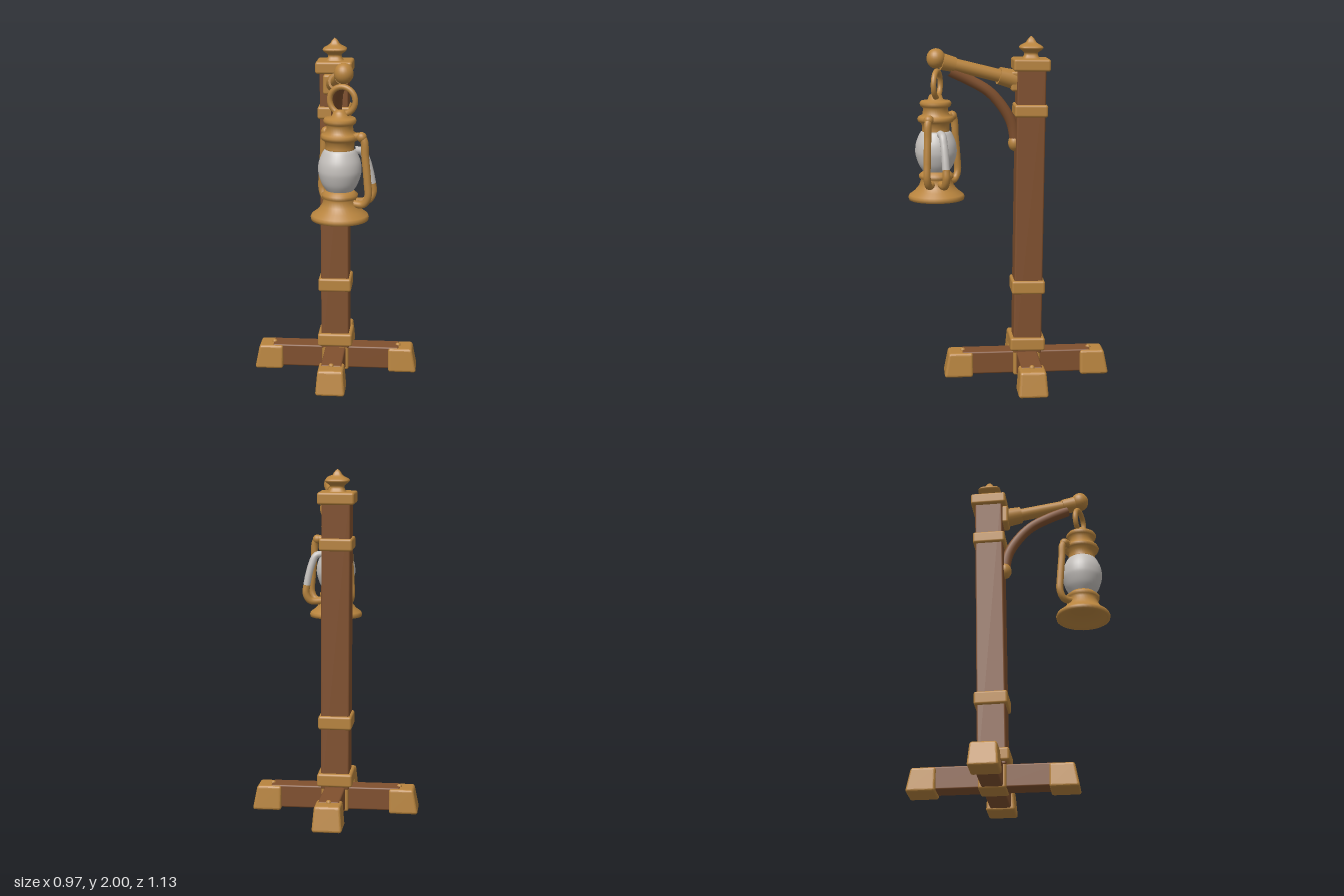
import * as THREE from 'three';
import { RoundedBoxGeometry } from 'three/addons/geometries/RoundedBoxGeometry.js';

const mat = (name, color, side = THREE.FrontSide) => {
  const m = new THREE.MeshStandardMaterial({ color, side });
  m.name = name;
  return m;
};
const V = (x, y, z) => new THREE.Vector3(x, y, z);

export function createModel() {
  const gold = mat('brass', 0xb8843e, THREE.DoubleSide);
  const wood = mat('wood', 0x80502e);
  const glass = mat('frosted glass', 0xc4c0bc);

  const root = new THREE.Group();
  root.name = 'lanternPost';

  const add = (parent, name, geo, material, x = 0, y = 0, z = 0) => {
    const m = new THREE.Mesh(geo, material);
    m.name = name;
    m.position.set(x, y, z);
    parent.add(m);
    return m;
  };
  const group = (parent, name, x = 0, y = 0, z = 0) => {
    const g = new THREE.Group();
    g.name = name;
    g.position.set(x, y, z);
    parent.add(g);
    return g;
  };
  const rbox = (w, h, d, r = 0.014) => new RoundedBoxGeometry(w, h, d, 3, r);
  const lathe = (pts, seg = 36) =>
    new THREE.LatheGeometry(new THREE.SplineCurve(pts.map(p => new THREE.Vector2(p[0], p[1]))).getPoints(pts.length * 4), seg);
  const hardLathe = (pts, seg = 36) => new THREE.LatheGeometry(pts.map(p => new THREE.Vector2(p[0], p[1])), seg);
  const tube = (pts, r, seg = 32) => new THREE.TubeGeometry(new THREE.CatmullRomCurve3(pts), seg, r, 12);

  const TURN = 0.293; // the whole stand is turned about its upright

  // Crossed feet with flared end caps
  const base = group(root, 'crossBase', 0, 0, -0.085);
  base.rotation.y = TURN;
  add(base, 'baseCore', rbox(0.16, 0.16, 0.16), gold, 0, 0.085, 0);
  const capGeo = rbox(0.17, 0.145, 0.172, 0.016);
  const cp = capGeo.attributes.position;
  for (let i = 0; i < cp.count; i++) {
    const t = cp.getY(i) / 0.145 + 0.5;
    cp.setX(i, cp.getX(i) - 0.028 * t * (cp.getX(i) / 0.17 + 0.5));
    cp.setZ(i, cp.getZ(i) * (1 - 0.14 * t));
  }
  capGeo.computeVertexNormals();
  for (let k = 0; k < 4; k++) {
    const leg = group(base, 'leg');
    leg.rotation.y = k * Math.PI / 2;
    add(leg, 'legBeam', rbox(0.36, 0.135, 0.122, 0.01), wood, 0.2, 0.082, 0);
    add(leg, 'legCap', capGeo, gold, 0.403, 0.0725, 0);
    add(leg, 'legStud', new THREE.SphereGeometry(0.016, 12, 8), gold, 0.375, 0.145, 0);
  }

  // Upright, leaning very slightly
  const lean = group(root, 'leaningUpright', 0, 0, -0.085);
  lean.rotation.set(-0.013, 0, 0.0105);
  const post = group(lean, 'upright');
  post.rotation.y = TURN;
  add(post, 'postBeam', rbox(0.165, 1.68, 0.165, 0.01), wood, 0, 0.98, 0);
  add(post, 'baseCollar', rbox(0.205, 0.078, 0.205), gold, 0, 0.197, 0);
  add(post, 'lowerBand', rbox(0.195, 0.08, 0.195), gold, 0, 0.54, 0);
  add(post, 'upperBand', rbox(0.192, 0.072, 0.192), gold, 0, 1.576, 0);
  add(post, 'topCap', rbox(0.212, 0.07, 0.212), gold, 0, 1.838, 0);

  // Finial: a lathe squared off into soft corners
  const finGeo = lathe([[0.058, 1.865], [0.042, 1.885], [0.04, 1.905], [0.066, 1.928], [0.064, 1.942], [0.032, 1.962], [0.016, 1.985], [0, 2.0]], 32);
  const fp = finGeo.attributes.position;
  for (let i = 0; i < fp.count; i++) {
    const a = Math.atan2(fp.getZ(i), fp.getX(i));
    const s = Math.pow(Math.cos(a) ** 4 + Math.sin(a) ** 4, -0.25);
    fp.setX(i, fp.getX(i) * s);
    fp.setZ(i, fp.getZ(i) * s);
  }
  finGeo.computeVertexNormals();
  add(post, 'finial', finGeo, gold);

  // Hanging arm with socket, collar and ball end
  const arm = group(root, 'hangingArm');
  const a0 = V(0.005, 1.745, -0.045), a1 = V(0.225, 1.872, 0.385);
  const along = (name, t, len, r0, r1, material) => {
    const m = add(arm, name, new THREE.CylinderGeometry(r1, r0, len, 20), material);
    m.position.lerpVectors(a0, a1, t);
    m.quaternion.setFromUnitVectors(V(0, 1, 0), a1.clone().sub(a0).normalize());
  };
  const plate = add(arm, 'armPlate', rbox(0.12, 0.115, 0.05), gold, 0.008, 1.745, -0.02);
  plate.rotation.y = TURN;
  along('armSocket', 0.15, 0.1, 0.057, 0.05, gold);
  along('armBar', 0.53, 0.45, 0.038, 0.036, gold);
  along('armCollar', 0.86, 0.075, 0.043, 0.048, gold);
  const ball = add(arm, 'armBall', new THREE.SphereGeometry(0.053, 24, 16), gold, 0.226, 1.882, 0.388);
  ball.scale.y = 1.08;

  // Curved wooden brace
  add(arm, 'brace', tube([V(0.012, 1.38, -0.025), V(0.025, 1.5, -0.005), V(0.05, 1.6, 0.045),
    V(0.085, 1.69, 0.12), V(0.13, 1.755, 0.22), V(0.185, 1.81, 0.32)], 0.031), wood);
  const foot = add(arm, 'braceFoot', new THREE.SphereGeometry(0.044, 20, 14), gold, 0.012, 1.385, -0.02);
  foot.scale.set(0.95, 1.1, 0.85);

  // Lantern
  const lamp = group(root, 'lantern', 0.208, 0, 0.398);
  add(lamp, 'lampRing', new THREE.TorusGeometry(0.074, 0.016, 12, 36), gold, 0.01, 1.735, -0.012);
  add(lamp, 'lampBase', hardLathe([[0.0, 1.14], [0.07, 1.13], [0.135, 1.085], [0.145, 1.072], [0.158, 1.074], [0.161, 1.09],
    [0.155, 1.103], [0.125, 1.125], [0.1, 1.155], [0.087, 1.19], [0.098, 1.2], [0.1, 1.218], [0.085, 1.23], [0.07, 1.245], [0, 1.245]]), gold);
  add(lamp, 'glassGlobe', lathe([[0.072, 1.235], [0.098, 1.275], [0.115, 1.325], [0.119, 1.36], [0.113, 1.405], [0.092, 1.455], [0.078, 1.47]]), glass);
  add(lamp, 'lampTop', hardLathe([[0, 1.452], [0.084, 1.452], [0.078, 1.475], [0.08, 1.51], [0.1, 1.525], [0.105, 1.54], [0.098, 1.553],
    [0.076, 1.563], [0.07, 1.6], [0.086, 1.612], [0.091, 1.628], [0.083, 1.641], [0.045, 1.648], [0.036, 1.672], [0.02, 1.684], [0, 1.686]]), gold);

  // Side rails: angle is measured from +x towards -z
  const rail = (name, angle, pts, r, material) => {
    const m = add(lamp, name, tube(pts.map(p => V(p[0], p[1], 0)), r, 40), material);
    m.rotation.y = angle;
  };
  const full = [[0.075, 1.535], [0.122, 1.55], [0.143, 1.525], [0.15, 1.44], [0.164, 1.3], [0.167, 1.215], [0.14, 1.172], [0.075, 1.17]];
  for (const a of [-0.05, Math.PI - 0.57]) {
    rail('sideRail', a, full, 0.021, gold);
    const j = add(lamp, 'railJoint', new THREE.SphereGeometry(0.028, 16, 12), gold);
    j.position.set(0.128 * Math.cos(a), 1.545, -0.128 * Math.sin(a));
  }
  rail('rearRailLower', 0.57, [[0.182, 1.27], [0.187, 1.22], [0.16, 1.175], [0.075, 1.17]], 0.022, gold);
  rail('rearRailUpper', 0.57, [[0.08, 1.46], [0.125, 1.45], [0.15, 1.4], [0.17, 1.33], [0.182, 1.27]], 0.022, glass);

  return root;
}
